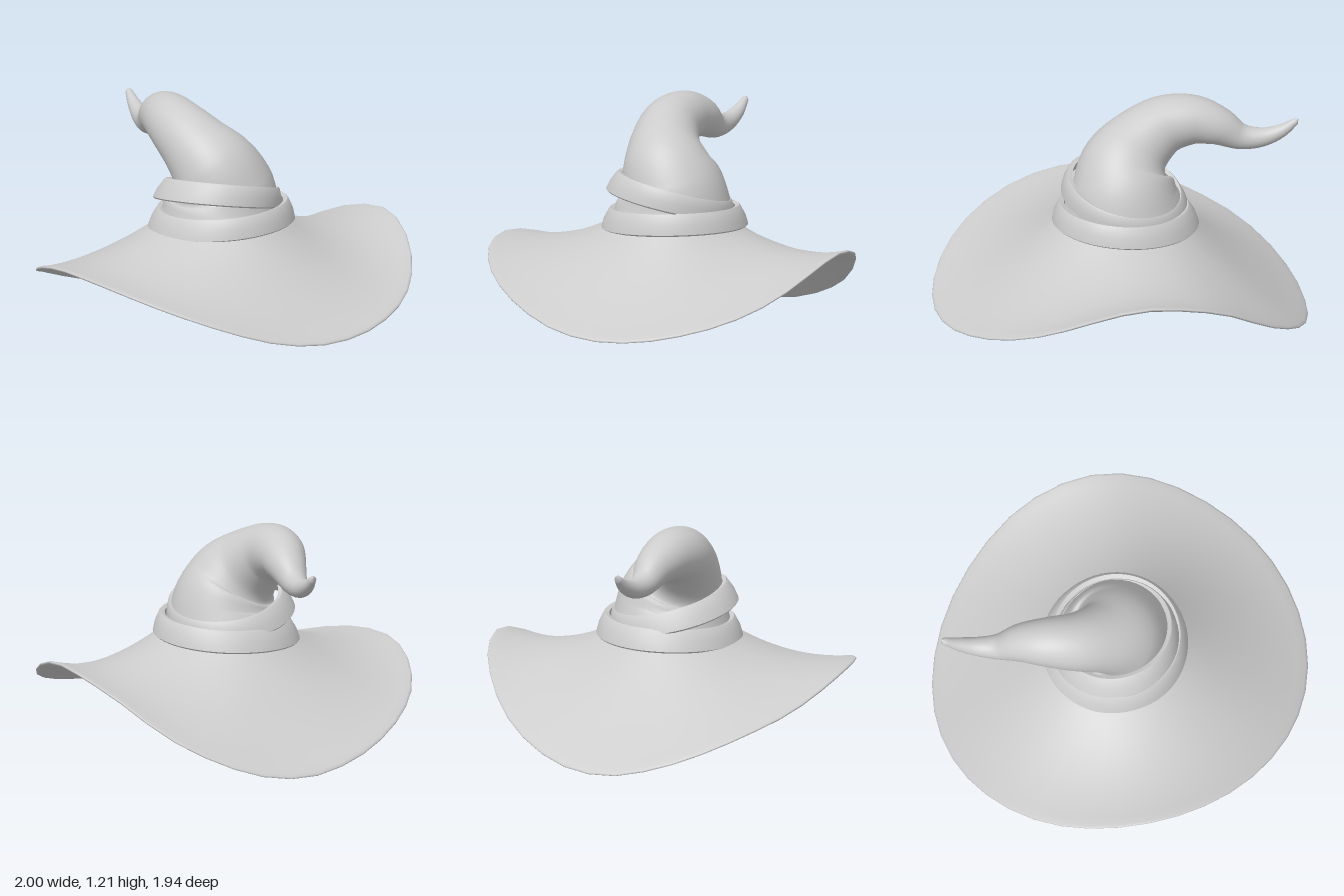
import * as THREE from 'three';
import { toCreasedNormals } from 'three/addons/utils/BufferGeometryUtils.js';

const TAU = Math.PI * 2;
const material = new THREE.MeshStandardMaterial({ color: 0xcccccc, side: THREE.DoubleSide });

// Surface made of `rows` rings, each closed around `cols` points
function loft(cols, rows, pointAt) {
  const positions = [], index = [];
  for (let j = 0; j < rows; j++) {
    for (let i = 0; i < cols; i++) positions.push(...pointAt(i / cols, j));
  }
  for (let j = 0; j < rows - 1; j++) {
    for (let i = 0; i < cols; i++) {
      const a = j * cols + i, b = j * cols + (i + 1) % cols;
      index.push(a, b, a + cols, b, b + cols, a + cols);
    }
  }
  const geometry = new THREE.BufferGeometry();
  geometry.setAttribute('position', new THREE.Float32BufferAttribute(positions, 3));
  geometry.setIndex(index);
  geometry.computeVertexNormals();
  return geometry;
}

function part(name, geometry) {
  const mesh = new THREE.Mesh(geometry, material);
  mesh.name = name;
  return mesh;
}

// Smooth curve through plain numbers, stored in x
const track = (values, closed) => new THREE.CatmullRomCurve3(
  values.map(v => new THREE.Vector3(v, 0, 0)), closed, 'catmullrom');

// Floppy brim: height of the rim every 15 degrees, from +x towards +z
function brim() {
  const rim = track([
    0.19, 0.15, 0.145, 0.185, 0.26, 0.335, 0.40, 0.44, 0.44, 0.385, 0.30, 0.22,
    0.13, 0.05, 0.003, 0.025, 0.11, 0.23, 0.38, 0.475, 0.505, 0.44, 0.335, 0.25,
  ], true);
  const inner = 0.34, baseY = 0.575, steps = 16;
  const sheet = (r, edge, u) => {
    const t = (r - inner) / (1 - inner);
    const sag = 0.08 + 0.36 * Math.max(0, edge - 0.05) + 0.05 * Math.max(0, Math.cos(u * TAU));
    return baseY + (edge - baseY) * t - sag * t * (1 - t);
  };
  // Rows as [radius, vertical offset, inside]: top, lip, underside, crown lining
  const rows = [];
  for (let j = 0; j <= steps; j++) rows.push([inner + (0.988 - inner) * j / steps, 0.01]);
  rows.push([0.998, 0.005], [1, 0], [0.997, -0.005]);
  for (let j = steps; j >= 0; j--) rows.push([inner + (0.985 - inner) * j / steps, -0.01]);
  for (let j = 7; j >= 0; j--) rows.push([inner * j / 8, -0.01, true]);

  return loft(40, rows.length, (u, j) => {
    const [r, offset, inside] = rows[j];
    const y = inside ? baseY + 0.035 * (1 - (r / inner) ** 2) : sheet(r, rim.getPoint(u).x, u);
    return [r * Math.cos(u * TAU), y + offset, 0.97 * r * Math.sin(u * TAU)];
  });
}

// Crown: tapering sweep that bends over and curls up at the tip; [x, y, z, radius]
function crown() {
  const stations = [
    [-0.02, 0.585, -0.01, 0.338], [-0.02, 0.66, -0.01, 0.312], [-0.02, 0.76, -0.005, 0.278],
    [-0.055, 0.87, 0.025, 0.238], [-0.15, 0.965, 0.03, 0.19], [-0.285, 1.045, -0.005, 0.157],
    [-0.41, 1.07, -0.085, 0.133], [-0.51, 1.04, -0.17, 0.106], [-0.61, 0.975, -0.245, 0.07],
    [-0.70, 0.97, -0.315, 0.051], [-0.78, 1.005, -0.375, 0.036], [-0.845, 1.06, -0.42, 0.018],
  ];
  const spine = new THREE.CatmullRomCurve3(
    stations.map(s => new THREE.Vector3(s[0], s[1], s[2])), false, 'catmullrom');
  const radius = track(stations.map(s => s[3]), false);
  const side = new THREE.Vector3(-0.55, 0, 0.83).normalize();
  const count = 56;
  const rings = Array.from({ length: count }, (_, j) => {
    const t = j / (count - 1);
    const tangent = spine.getTangent(t);
    const n = side.clone().cross(tangent).normalize();
    return { c: spine.getPoint(t), r: radius.getPoint(t).x, n, s: tangent.clone().cross(n) };
  });
  // Last ring closes the rounded tip
  const end = rings[count - 1];
  rings.push({ ...end, c: new THREE.Vector3(-0.855, 1.074, -0.429), r: 0 });
  return loft(40, rings.length, (u, j) => {
    const { c, r, n, s } = rings[j];
    return c.clone().addScaledVector(n, r * Math.cos(u * TAU))
      .addScaledVector(s, r * Math.sin(u * TAU)).toArray();
  });
}

// Wrapped band: tilted tapering ring with a thick section; lean shifts its top edge in [x, z]
function band({ x, z, bottom, top, y, height, tiltX, tiltZ, wave, lean }) {
  const section = [
    [top - 0.03, height - 0.008], [top - 0.008, height], [top, height - 0.008],
    [(top + bottom) / 2 + 0.006, height / 2],
    [bottom, 0.008], [bottom - 0.008, 0], [bottom - 0.035, 0.03], [top - 0.03, height - 0.008],
  ];
  const geometry = loft(56, section.length, (u, j) => {
    const [r, h] = section[j];
    const c = Math.cos(u * TAU), s = Math.sin(u * TAU), k = h / height;
    return [
      x + lean[0] * k + r * c,
      y + h + bottom * (tiltX * c + tiltZ * s) + wave * Math.cos(2 * u * TAU),
      z + lean[1] * k + r * s,
    ];
  });
  return toCreasedNormals(geometry, 0.7);
}

export function createModel() {
  const hat = new THREE.Group();
  hat.name = 'pointedHat';
  hat.add(
    part('brim', brim()),
    part('crown', crown()),
    part('lowerBand', band({
      x: -0.025, z: -0.015, bottom: 0.387, top: 0.347, y: 0.56, height: 0.115,
      tiltX: 0.055, tiltZ: -0.02, wave: 0.003, lean: [0.01, 0],
    })),
    part('upperBand', band({
      x: -0.04, z: 0.01, bottom: 0.337, top: 0.305, y: 0.675, height: 0.108,
      tiltX: 0.05, tiltZ: 0.23, wave: 0, lean: [0.02, -0.025],
    })),
  );
  return hat;
}
